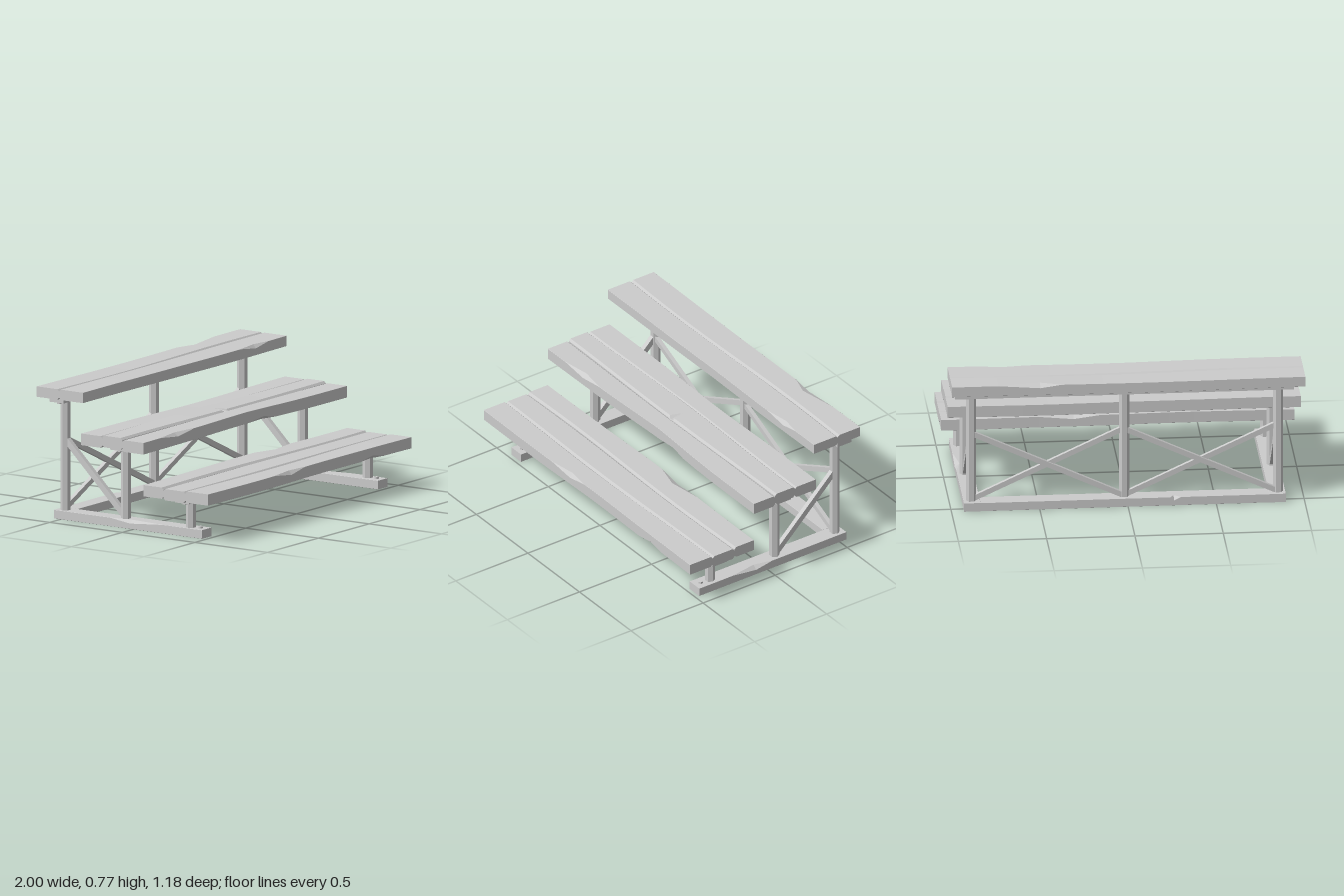
import * as THREE from 'three';

const material = new THREE.MeshStandardMaterial({ color: 0xcccccc, flatShading: true, side: THREE.DoubleSide });

function addMesh(parent, geometry, name, x = 0, y = 0, z = 0) {
  const mesh = new THREE.Mesh(geometry, material);
  mesh.name = name;
  mesh.position.set(x, y, z);
  parent.add(mesh);
  return mesh;
}

// Worn timber along x. front/back give the z of each edge, lift a y wave.
// bevel = edge wear at [front, back]; chips = { corner, from, at, to, dz, dy }
// with corner 0 top front, 1 bottom front, 2 bottom back, 3 top back.
function timber({ x0, x1, y0, y1, front, back, lift = () => 0, bevel = [0.001, 0.001], chips = [], steps = 14 }) {
  const stations = [];
  for (let i = 0; i <= steps; i++) stations.push(x0 + (x1 - x0) * i / steps);
  chips.forEach(c => stations.push(c.from, c.at, c.to));
  const xs = [...new Set(stations)].sort((a, b) => a - b);
  const wear = (corner, x) => {
    const b = bevel[corner < 2 ? 0 : 1];
    let dz = b, dy = b;
    for (const c of chips) {
      if (c.corner !== corner) continue;
      const t = x < c.at ? (x - c.from) / (c.at - c.from) : (c.to - x) / (c.to - c.at);
      if (t > 0) { dz += c.dz * t; dy += c.dy * t; }
    }
    return [dz, dy];
  };
  const pos = [], index = [];
  for (const x of xs) {
    const f = front(x), b = back(x), top = y1 + lift(x), low = y0 + lift(x);
    const [tf, bf, bb, tb] = [0, 1, 2, 3].map(c => wear(c, x));
    const ring = [
      [f - tf[0], top], [f, top - tf[1]], [f, low + bf[1]], [f - bf[0], low],
      [b + bb[0], low], [b, low + bb[1]], [b, top - tb[1]], [b + tb[0], top],
    ];
    ring.forEach(([z, y]) => pos.push(x, y, z));
  }
  for (let i = 0; i < xs.length - 1; i++) {
    for (let j = 0; j < 8; j++) {
      const a = i * 8 + j, b = i * 8 + (j + 1) % 8;
      index.push(a, b, b + 8, a, b + 8, a + 8);
    }
  }
  const last = (xs.length - 1) * 8;
  for (let j = 1; j < 7; j++) index.push(0, j + 1, j, last, last + j, last + j + 1);
  const g = new THREE.BufferGeometry();
  g.setAttribute('position', new THREE.Float32BufferAttribute(pos, 3));
  g.setIndex(index);
  const flat = g.toNonIndexed();
  flat.computeVertexNormals();
  return flat;
}

// Square bar between two points
function addBar(parent, name, from, to, thick, depth) {
  const a = new THREE.Vector3(...from), b = new THREE.Vector3(...to);
  const bar = addMesh(parent, new THREE.BoxGeometry(depth, thick, a.distanceTo(b)), name);
  bar.position.copy(a).add(b).multiplyScalar(0.5);
  bar.lookAt(b);
}

const flatEdge = z => () => z;
const wavyEdge = (z, phase, amp = 0.008) => x => z + amp * Math.sin(x * 3.2 + phase);
// Straight edge worn inward around the middle
const wornEdge = (z, depth) => x => z + depth * Math.max(0, 1 - Math.abs(x - 0.05) / 0.45);

const chip = (board, corner, from, at, to, dz, dy) => ({ board, corner, from, at, to, dz, dy });

// Seats from the lowest to the highest: board edges run front to back
const tiers = [
  {
    name: 'lowerSeat', y0: 0.222, y1: 0.287, z: 0.37, beam: [0.2, 0.235],
    edges: [wornEdge(0.59, -0.008), wavyEdge(0.442, 1.5), wavyEdge(0.287, 0.5), wornEdge(0.147, -0.01)],
    raise: [0, -0.001, 0.005],
    chips: [
      chip(0, 0, -0.34, -0.17, -0.04, 0.02, 0.022), chip(0, 1, 0.5, 0.62, 0.73, 0.02, 0.018),
      chip(2, 3, 0.1, 0.25, 0.45, 0.035, 0.02),
    ],
  },
  {
    name: 'middleSeat', y0: 0.467, y1: 0.534, z: -0.077, beam: [0.452, 0.48],
    edges: [wornEdge(0.146, -0.018), wavyEdge(0.006, 2, 0.006), wavyEdge(-0.145, 4.6), wornEdge(-0.283, 0.008)],
    raise: [0, 0.008, 0],
    chips: [
      chip(0, 0, -0.83, -0.66, -0.5, 0.024, 0.02), chip(0, 1, 0.06, 0.2, 0.3, 0.02, 0.018),
      chip(1, 0, -0.02, 0.005, 0.025, 0.07, 0.008),
    ],
  },
  {
    name: 'upperSeat', y0: 0.71, y1: 0.77, z: -0.495, beam: [0.68, 0.712],
    edges: [wornEdge(-0.27, -0.006), wavyEdge(-0.437, 3.4), flatEdge(-0.59)],
    raise: [0, 0],
    chips: [
      chip(0, 0, 0.55, 0.7, 0.82, 0.02, 0.02), chip(1, 3, 0.38, 0.5, 0.74, 0.038, 0.018),
    ],
  },
];

const leftX = 0.885, rightX = -0.853, midX = 0.018;

export function createModel() {
  const model = new THREE.Group();
  model.name = 'bleacher';

  tiers.forEach((t, ti) => {
    const seat = new THREE.Group();
    seat.name = t.name;
    model.add(seat);

    // Seat boards with wavy grooves between them
    const count = t.edges.length - 1;
    for (let i = 0; i < count; i++) {
      addMesh(seat, timber({
        x0: -1, x1: 1, y0: t.y0 + t.raise[i], y1: t.y1 + t.raise[i],
        front: t.edges[i], back: t.edges[i + 1],
        lift: x => 0.003 * Math.sin(x * 3 + ti * 2 + i),
        bevel: [i > 0 ? 0.012 : 0.001, i < count - 1 ? 0.012 : 0.001],
        chips: t.chips.filter(c => c.board === i),
      }), 'seatBoard');
    }

    // Support beam under the boards, with a bolt at each end
    const [b0, b1] = t.beam;
    addMesh(seat, new THREE.BoxGeometry(1.92, b1 - b0, 0.098), 'supportBeam', 0.02, (b0 + b1) / 2, t.z);
    for (const x of [-0.91, 0.95])
      addMesh(seat, new THREE.CylinderGeometry(0.016, 0.016, 0.012, 6), 'beamBolt', x, b0 - 0.004, t.z);

    // Six-sided posts; only the tall back row has a middle one
    const postXs = ti === 2 ? [rightX, midX, leftX] : [rightX, leftX];
    for (const x of postXs) {
      const post = addMesh(seat, new THREE.CylinderGeometry(0.029, 0.029, b0 - 0.035, 6), 'post', x, (b0 + 0.045) / 2, t.z);
      post.rotation.y = Math.PI / 6;
    }
  });

  // Ground frame: two side rails and a back rail
  const base = new THREE.Group();
  base.name = 'groundFrame';
  model.add(base);
  for (const [x, chips] of [
    [leftX - 0.003, [chip(0, 0, -0.24, -0.08, 0.03, 0.025, 0.02)]],
    [rightX + 0.006, [chip(0, 3, -0.2, 0.02, 0.16, 0.02, 0.018)]],
  ]) {
    const rail = addMesh(base, timber({
      x0: -0.475, x1: 0.545, y0: 0, y1: 0.05,
      front: flatEdge(0.047), back: flatEdge(-0.047), chips, steps: 1,
    }), 'sideRail', x);
    rail.rotation.y = Math.PI / 2;
    addMesh(base, new THREE.CylinderGeometry(0.014, 0.014, 0.014, 6), 'railBolt', x, 0.054, 0.433);
  }
  addMesh(base, timber({
    x0: -0.8, x1: 0.835, y0: 0, y1: 0.05, front: flatEdge(-0.45), back: flatEdge(-0.545), steps: 1,
    chips: [chip(0, 3, -0.3, -0.26, -0.24, 0.03, 0.02)],
  }), 'backRail');

  // Crossed braces between the back posts
  const braces = new THREE.Group();
  braces.name = 'braces';
  model.add(braces);
  for (const [a, b] of [[rightX, midX], [midX, leftX]]) {
    addBar(braces, 'crossBrace', [a + 0.01, 0.06, -0.503], [b - 0.01, 0.455, -0.503], 0.03, 0.024);
    addBar(braces, 'crossBrace', [a + 0.01, 0.455, -0.49], [b - 0.01, 0.06, -0.49], 0.03, 0.024);
  }

  // Diagonal side braces from the middle posts up to the back posts
  for (const x of [rightX, leftX])
    addBar(braces, 'sideBrace', [x, 0.062, -0.08], [x, 0.46, -0.49], 0.034, 0.028);

  return model;
}
